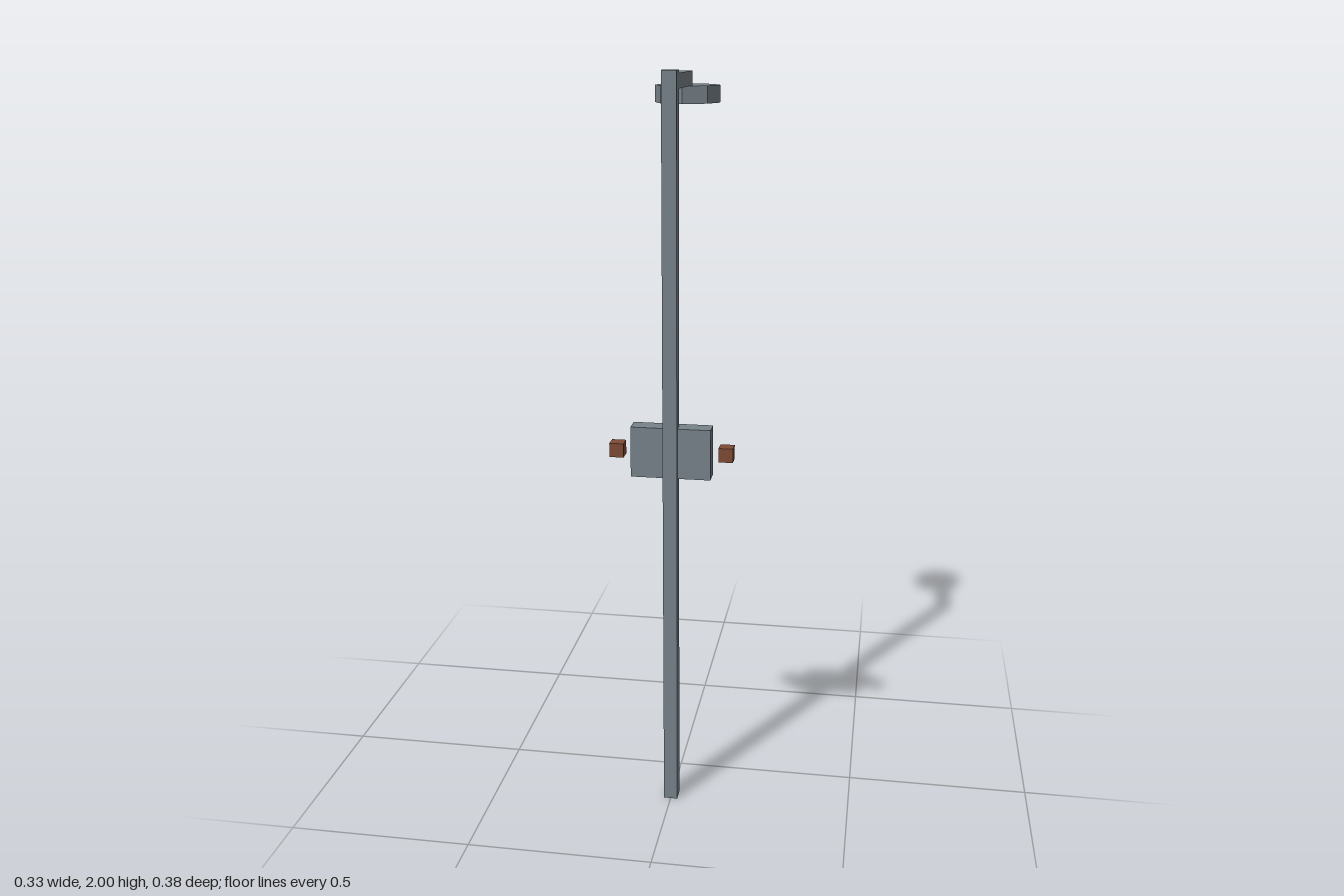
import * as THREE from 'three';

export function createModel() {
  const model = new THREE.Group();
  model.name = 'shower';
  const metal = new THREE.MeshStandardMaterial({ color: 0x78828a, flatShading: true });
  metal.name = 'grey metal';
  const copper = new THREE.MeshStandardMaterial({ color: 0x7d4a34, flatShading: true });
  copper.name = 'brown knob';

  const add = (name, geometry, material, x, y, z) => {
    const mesh = new THREE.Mesh(geometry, material);
    mesh.name = name;
    mesh.position.set(x, y, z);
    model.add(mesh);
  };
  const box = (w, h, d) => new THREE.BoxGeometry(w, h, d);

  // Upright pipe and the arm reaching back from its top
  add('riserPipe', box(0.038, 2, 0.038), metal, 0, 1, 0.171);
  add('showerArm', box(0.038, 0.037, 0.216), metal, 0, 1.9735, 0.044);

  // Octagonal shower head under the arm's end
  add('showerHead', new THREE.CylinderGeometry(0.087, 0.087, 0.045, 8), metal, 0, 1.9325, -0.104);

  // Mixer block with a separate tap knob on each side
  add('mixerBlock', box(0.213, 0.137, 0.049), metal, 0, 1.028, 0.1555);
  for (const side of [-1, 1]) {
    add(side > 0 ? 'leftKnob' : 'rightKnob', box(0.038, 0.038, 0.038), copper, side * 0.146, 1.028, 0.155);
  }
  return model;
}
